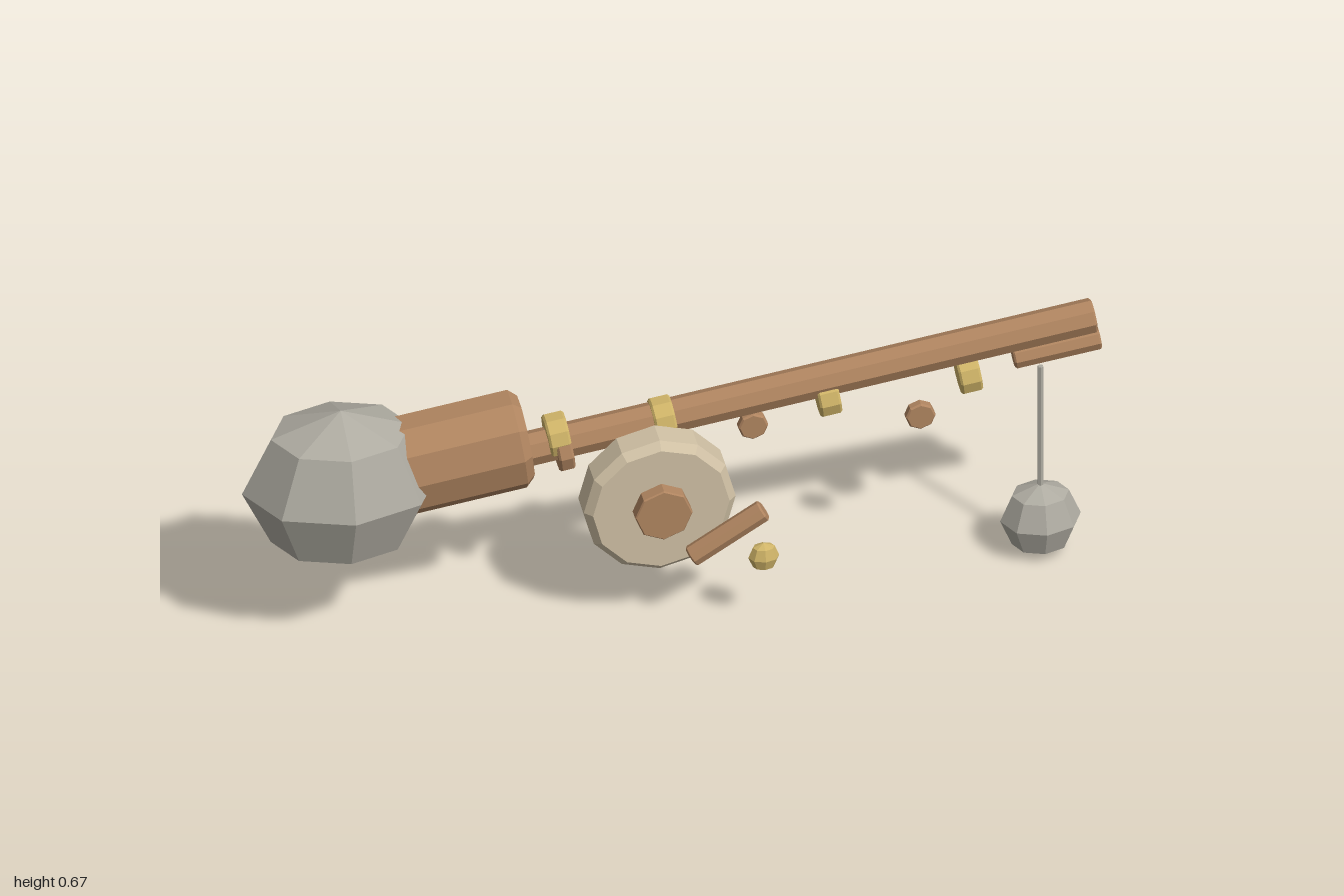
import * as THREE from 'three';

const mat = (name, color) => {
  const m = new THREE.MeshStandardMaterial({ color });
  m.name = name;
  return m;
};

export function createModel() {
  const model = new THREE.Group();
  model.name = 'fishingRod';
  const wood = mat('wood', 0xb08560);
  const brass = mat('brass', 0xcfb468);
  const cream = mat('cream', 0xcfc0a4);
  const grey = mat('grey', 0xaeaba1);

  // Faceted normals for the low-poly look
  const add = (name, geometry, material) => {
    const flat = geometry.toNonIndexed();
    flat.computeVertexNormals();
    const mesh = new THREE.Mesh(flat, material);
    mesh.name = name;
    model.add(mesh);
    return mesh;
  };

  // Chamfered cylinder running from point a to point b; sz squashes it in depth
  const bar = (name, a, b, r, sides, bevel, material, sz = 1) => {
    const from = new THREE.Vector3(...a), to = new THREE.Vector3(...b);
    const h = from.distanceTo(to);
    const profile = [
      [0, 0], [r - bevel, 0], [r, bevel], [r, h - bevel], [r - bevel, h], [0, h],
    ].map(([x, y]) => new THREE.Vector2(x, y));
    const geometry = new THREE.LatheGeometry(profile, sides);
    geometry.scale(1, 1, sz);
    const mesh = add(name, geometry, material);
    mesh.position.copy(from);
    mesh.quaternion.setFromUnitVectors(new THREE.Vector3(0, 1, 0), to.sub(from).normalize());
    return mesh;
  };

  // Faceted ellipsoid
  const ball = (name, center, radii, material) => {
    const geometry = new THREE.SphereGeometry(1, 8, 4);
    geometry.scale(...radii);
    add(name, geometry, material).position.set(...center);
  };

  const tilt = 0.145;
  const dx = Math.cos(tilt), dy = Math.sin(tilt);
  // Short ring around the tilted rod axis
  const ring = (name, x, y, r, width, material) => {
    const w = width / 2;
    bar(name, [x - dx * w, y - dy * w, -0.01], [x + dx * w, y + dy * w, -0.01], r, 10, 0.005, material);
  };

  // Butt, grip and rod
  ball('buttKnob', [-0.77, 0.405, -0.012], [0.23, 0.2, 0.176], grey);
  bar('grip', [-0.68, 0.426, -0.01], [-0.34, 0.475, -0.01], 0.125, 10, 0.02, wood, 0.77);
  bar('rod', [-0.4, 0.431, -0.01], [0.985, 0.63, -0.01], 0.041, 8, 0.005, wood);

  // Collar and line guides
  ring('collar', -0.255, 0.441, 0.062, 0.036, wood);
  [[-0.267, 0.473], [-0.02, 0.484], [0.362, 0.497], [0.69, 0.515]].forEach(([x, y]) =>
    ring('lineGuide', x, y, 0.052, 0.05, brass));

  // Small beads under the rod
  [[0.187, 0.443], [0.577, 0.417]].forEach(([x, y]) =>
    bar('bead', [x, y, -0.012], [x, y, 0.012], 0.035, 8, 0.004, wood));

  // Tip, line and sinker
  bar('tipBar', [0.795, 0.541, -0.01], [0.997, 0.569, -0.01], 0.03, 8, 0.004, wood);
  bar('line', [0.857, 0.17, 0.003], [0.857, 0.515, 0.003], 0.007, 6, 0.001, grey);
  ball('sinker', [0.857, 0.096, 0.003], [0.094, 0.094, 0.078], grey);

  // Reel with hub, crank and handle
  bar('reel', [-0.05, 0.323, 0.022], [-0.05, 0.323, 0.12], 0.177, 12, 0.018, cream);
  bar('reelHub', [-0.05, 0.325, 0.11], [-0.05, 0.325, 0.153], 0.067, 8, 0.003, wood);
  bar('crankArm', [0.015, 0.195, 0.14], [0.185, 0.301, 0.14], 0.026, 8, 0.004, wood);
  ball('crankKnob', [0.18, 0.188, 0.162], [0.036, 0.037, 0.026], brass);

  return model;
}
